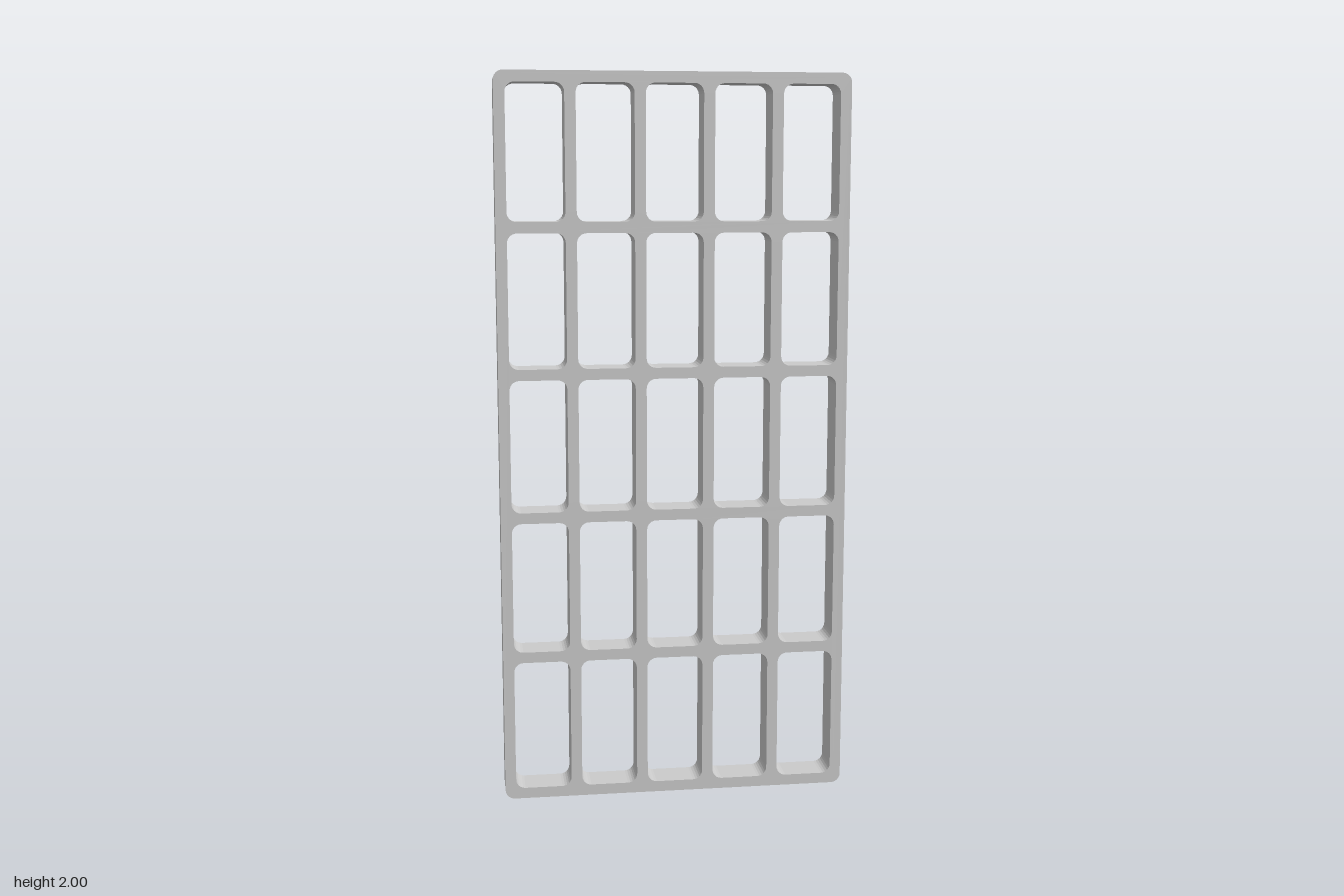
import * as THREE from 'three';

const WIDTH = 0.96, HEIGHT = 2, DEPTH = 0.095;
const COLUMNS = 5, ROWS = 5, BAR = 0.03, RADIUS = 0.026;

// Rounded rectangle outline, given its lower left corner
function roundedRect(path, x, y, w, h, r) {
  path.moveTo(x + r, y);
  path.lineTo(x + w - r, y);
  path.absarc(x + w - r, y + r, r, -Math.PI / 2, 0);
  path.lineTo(x + w, y + h - r);
  path.absarc(x + w - r, y + h - r, r, 0, Math.PI / 2);
  path.lineTo(x + r, y + h);
  path.absarc(x + r, y + h - r, r, Math.PI / 2, Math.PI);
  path.lineTo(x, y + r);
  path.absarc(x + r, y + r, r, Math.PI, Math.PI * 1.5);
  return path;
}

export function createModel() {
  const model = new THREE.Group();
  model.name = 'latticePanel';

  // Outer frame
  const shape = roundedRect(new THREE.Shape(), -WIDTH / 2, 0, WIDTH, HEIGHT, RADIUS);

  // Grid of rounded openings, leaving bars of equal width
  const w = (WIDTH - BAR * (COLUMNS + 1)) / COLUMNS;
  const h = (HEIGHT - BAR * (ROWS + 1)) / ROWS;
  for (let c = 0; c < COLUMNS; c++) {
    for (let r = 0; r < ROWS; r++) {
      const x = -WIDTH / 2 + BAR + c * (w + BAR);
      const y = BAR + r * (h + BAR);
      shape.holes.push(roundedRect(new THREE.Path(), x, y, w, h, RADIUS));
    }
  }

  const geometry = new THREE.ExtrudeGeometry(shape, { depth: DEPTH, bevelEnabled: false, curveSegments: 3 });
  geometry.translate(0, 0, -DEPTH / 2);

  const material = new THREE.MeshStandardMaterial({ color: 0xcccccc, flatShading: true });
  const lattice = new THREE.Mesh(geometry, material);
  lattice.name = 'latticeFrame';
  model.add(lattice);
  return model;
}
